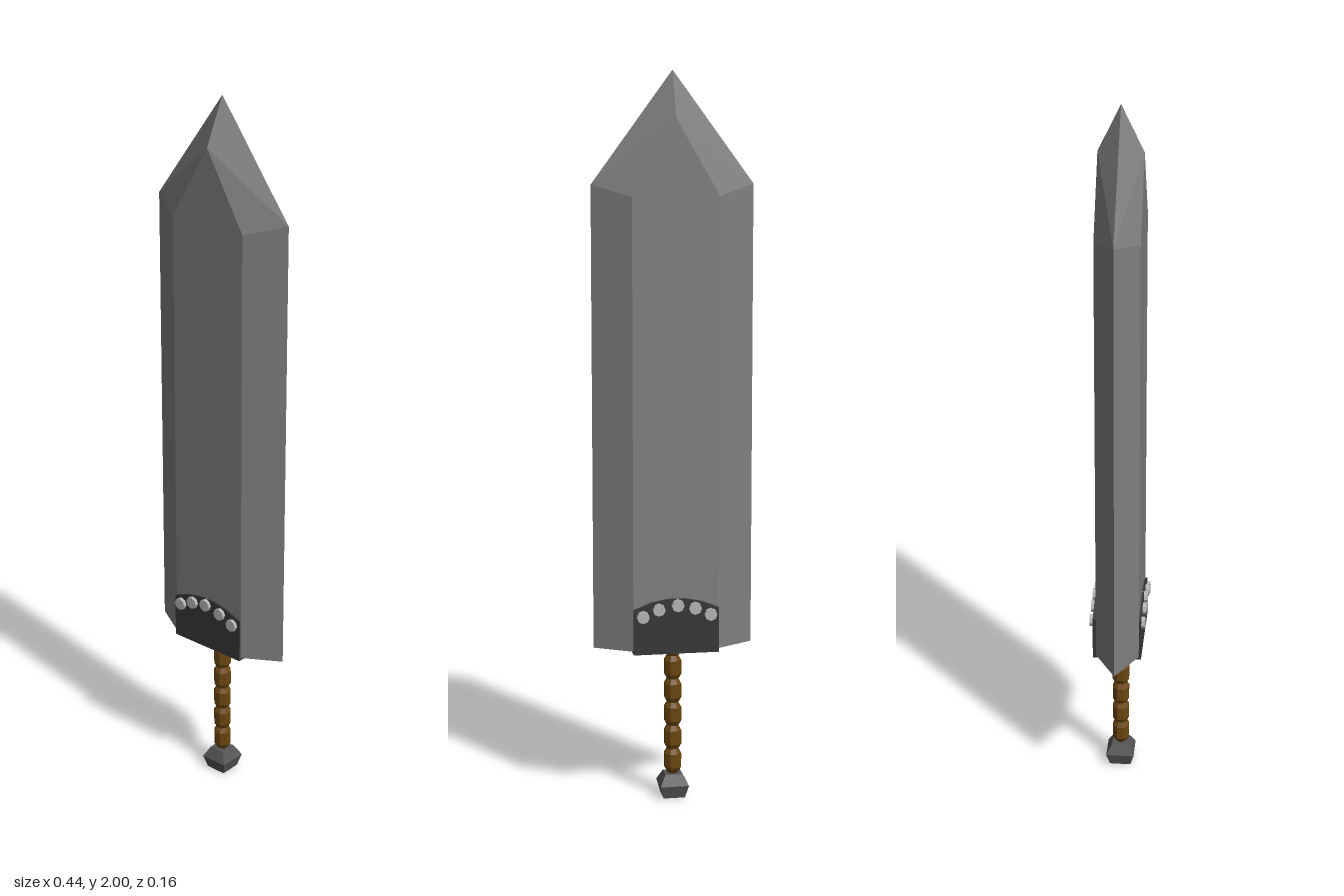
import * as THREE from 'three';
import { ConvexGeometry } from 'three/addons/geometries/ConvexGeometry.js';

const mat = (color) => new THREE.MeshStandardMaterial({ color, flatShading: true });

export function createModel() {
  const group = new THREE.Group();
  const steel = mat(0x808080), dark = mat(0x383838), wood = mat(0x6b4610);
  const iron = mat(0x555555), bright = mat(0xb4b8b4);
  const add = (name, geometry, material, parent = group) => {
    const mesh = new THREE.Mesh(geometry, material);
    mesh.name = name;
    parent.add(mesh);
    return mesh;
  };

  // Blade: six-sided section with bevelled edges and a bevelled point
  const V = (x, y, z) => new THREE.Vector3(x, y, z);
  const pts = [V(0, 2, 0)];
  for (const s of [-1, 1]) {
    pts.push(V(0.22 * s, 0.435, 0), V(0.22 * s, 1.7, 0), V(0, 1.875, 0.06 * s));
    for (const t of [-1, 1]) {
      pts.push(V(0.118 * s, 0.435, 0.06 * t), V(0.118 * s, 1.67, 0.06 * t));
    }
  }
  add('blade', new ConvexGeometry(pts), steel);

  // Guard plate with an arched top, wrapping both faces of the blade
  const arch = new THREE.Shape([
    [-0.118, 0.427], [0.118, 0.427], [0.118, 0.552], [0.07, 0.571], [0.025, 0.58],
    [-0.025, 0.58], [-0.07, 0.571], [-0.118, 0.552],
  ].map(([x, y]) => new THREE.Vector2(x, y)));
  const guard = new THREE.ExtrudeGeometry(arch, { depth: 0.135, bevelEnabled: false });
  add('guard', guard.translate(0, 0, -0.069), dark);

  // Rivets following the arch on both faces
  const rivets = new THREE.Group();
  rivets.name = 'rivets';
  group.add(rivets);
  const rivet = new THREE.CylinderGeometry(0.0175, 0.0175, 0.02, 8).rotateX(Math.PI / 2);
  for (const z of [-0.069, 0.066]) {
    for (const [x, y] of [[-0.094, 0.535], [-0.051, 0.554], [-0.003, 0.563], [0.049, 0.553], [0.093, 0.534]]) {
      add('rivet', rivet, bright, rivets).position.set(x, y, z);
    }
  }

  // Grip: a row of chamfered beads
  const profile = [new THREE.Vector2(0, 0.05)];
  const pitch = 0.067;
  for (let i = 0; i < 6; i++) {
    const y = 0.07 + i * pitch;
    for (const [r, h] of [[0.017, 0], [0.025, 0.014], [0.025, 0.053]]) {
      if (y + h < 0.44) profile.push(new THREE.Vector2(r, y + h));
    }
  }
  profile.push(new THREE.Vector2(0, 0.44));
  add('grip', new THREE.LatheGeometry(profile, 8, Math.PI / 8), wood);

  // Pommel: square block, widest in the middle
  const pommel = [[0, 0], [0.03, 0], [0.04, 0.036], [0.024, 0.066], [0, 0.066]]
    .map(([half, y]) => new THREE.Vector2(half * Math.SQRT2, y));
  add('pommel', new THREE.LatheGeometry(pommel, 4, Math.PI / 4), iron);

  return group;
}
